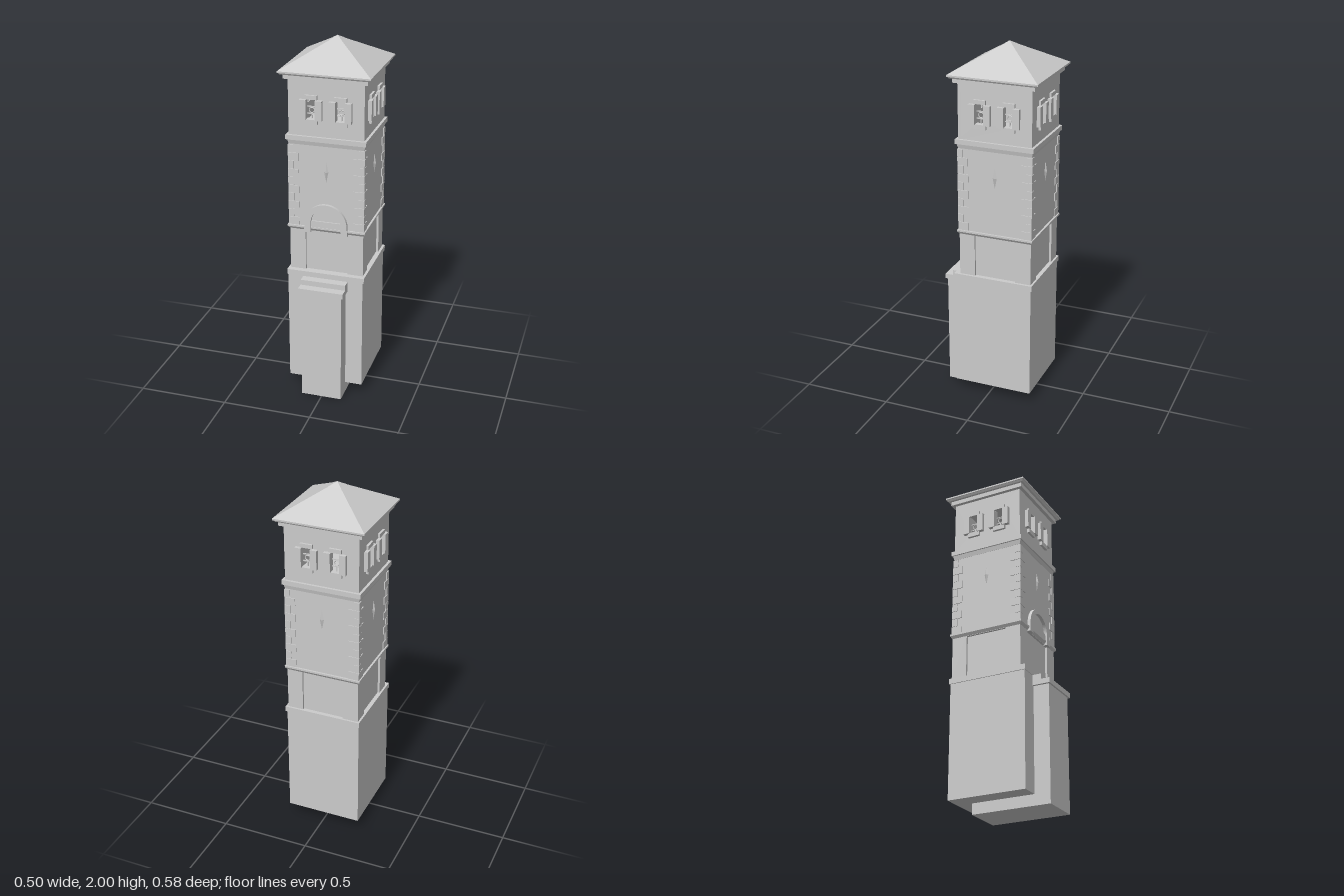
import * as THREE from 'three';

export function createModel() {
  const model = new THREE.Group();
  model.name = 'bellTower';
  const mat = new THREE.MeshStandardMaterial({ color: 0xcccccc, flatShading: true });

  const add = (parent, name, geo) => {
    const m = new THREE.Mesh(geo, mat);
    m.name = name;
    parent.add(m);
    return m;
  };
  // Box given by its limits on each axis
  const box = (parent, name, x0, x1, y0, y1, z0, z1) => {
    const m = add(parent, name, new THREE.BoxGeometry(x1 - x0, y1 - y0, z1 - z0));
    m.position.set((x0 + x1) / 2, (y0 + y1) / 2, (z0 + z1) / 2);
    return m;
  };
  // Square block centred on the tower axis
  const block = (parent, name, h, y0, y1) => box(parent, name, -h, h, y0, y1, -h, h);
  // Square frustum with half widths at bottom and top
  const frustum = (parent, name, h0, h1, y0, y1) => {
    const g = new THREE.CylinderGeometry(h1 * Math.SQRT2, h0 * Math.SQRT2, y1 - y0, 4);
    g.rotateY(Math.PI / 4);
    add(parent, name, g).position.y = (y0 + y1) / 2;
  };
  const rectPath = (p, x0, x1, y0, y1) => {
    p.moveTo(x0, y0); p.lineTo(x1, y0); p.lineTo(x1, y1); p.lineTo(x0, y1); p.closePath();
    return p;
  };
  const extrude = (shape, depth) =>
    new THREE.ExtrudeGeometry(shape, { depth, bevelEnabled: false, curveSegments: 16 });

  const tower = new THREE.Group();
  tower.name = 'tower';
  tower.position.set(-0.004, 0, -0.042);
  model.add(tower);

  // Base, with the front buttress running underneath it
  box(model, 'base', -0.216, 0.208, 0.06, 0.71, -0.251, 0.192);
  box(model, 'baseBand', -0.221, 0.216, 0.70, 0.73, -0.259, 0.195);
  box(model, 'buttress', -0.115, 0.113, 0, 0.65, -0.165, 0.281);
  box(model, 'buttressCap', -0.128, 0.125, 0.642, 0.67, 0.1, 0.291);
  box(model, 'buttressStep', -0.128, 0.125, 0.67, 0.70, 0.1, 0.243);

  // Panelled storey: recessed core, corner piers and a strip above the panels
  const W = 0.206;
  block(tower, 'panelCore', W - 0.012, 0.71, 0.99);
  for (const sx of [-1, 1]) for (const sz of [-1, 1]) {
    const c = 0.162;
    box(tower, 'cornerPier', sx * c - 0.044, sx * c + 0.044, 0.72, 0.98, sz * c - 0.044, sz * c + 0.044);
  }
  block(tower, 'panelHead', W, 0.966, 0.98);
  frustum(tower, 'middleBand', 0.207, 0.217, 0.968, 0.982);
  block(tower, 'middleBandTop', 0.217, 0.982, 0.992);

  // Shaft and the mouldings under the belfry
  block(tower, 'shaft', W, 0.99, 1.5);
  frustum(tower, 'upperBandNeck', 0.207, 0.213, 1.455, 1.48);
  block(tower, 'upperBand', 0.22, 1.48, 1.506);

  // Alternating corner stones
  const courses = 10, rise = 0.046;
  for (let i = 0; i < courses; i++) {
    const len = i % 2 ? 0.032 : 0.06, y = 0.992 + i * rise, o = W + 0.005;
    for (const sx of [-1, 1]) for (const sz of [-1, 1]) {
      const c = o - len / 2;
      box(tower, 'cornerStone', sx * c - len / 2, sx * c + len / 2, y + 0.001, y + rise - 0.001,
        sz * c - len / 2, sz * c + len / 2);
    }
  }

  // Arch moulding on the front
  const arch = new THREE.Shape();
  arch.moveTo(0.118, 1.012);
  arch.absarc(0, 1.012, 0.118, 0, Math.PI);
  arch.lineTo(-0.122, 0.962);
  arch.lineTo(-0.085, 0.962);
  arch.lineTo(-0.085, 1.022);
  arch.absarc(0, 1.022, 0.083, Math.PI, 0, true);
  arch.lineTo(0.085, 0.962);
  arch.lineTo(0.122, 0.962);
  add(tower, 'arch', extrude(arch, 0.026)).position.z = W - 0.008;
  box(tower, 'archSill', -0.084, 0.084, 0.99, 1.027, W - 0.01, W + 0.008);

  // The four faces: slit, pierced belfry wall and windows
  const wall = rectPath(new THREE.Shape(), -W, W, 1.5, 1.82);
  for (const x of [-0.08, 0.08]) wall.holes.push(rectPath(new THREE.Path(), x - 0.025, x + 0.025, 1.6, 1.71));
  const wallGeo = extrude(wall, 0.02);
  for (let k = 0; k < 4; k++) {
    const face = new THREE.Group();
    face.name = 'towerFace';
    face.rotation.y = k * Math.PI / 2;
    tower.add(face);

    const slit = add(face, 'slit', new THREE.OctahedronGeometry(1));
    slit.scale.set(0.012, 0.058, 0.01);
    slit.position.set(0, 1.313, W);

    add(face, 'belfryWall', wallGeo).position.z = W - 0.02;
    for (const x of [-0.08, 0.08]) {
      box(face, 'lintel', x - 0.034, x + 0.034, 1.708, 1.73, W - 0.01, W + 0.012);
      box(face, 'sill', x - 0.036, x + 0.036, 1.574, 1.6, W - 0.01, W + 0.014);
      for (const s of [-1, 1]) {
        const c = x + s * 0.043;
        box(face, 'shutter', c - 0.018, c + 0.018, 1.597, 1.705, W - 0.005, W + 0.02);
      }
      // Small railing inside the opening
      box(face, 'railing', x - 0.026, x + 0.026, 1.624, 1.629, W - 0.016, W - 0.01);
      box(face, 'railing', x - 0.026, x + 0.026, 1.662, 1.667, W - 0.016, W - 0.01);
      add(face, 'railingRing', new THREE.TorusGeometry(0.014, 0.003, 6, 16)).position.set(x, 1.645, W - 0.013);
      box(face, 'railingPost', x - 0.003, x + 0.003, 1.6, 1.626, W - 0.016, W - 0.01);
    }
  }

  // Cornice and hipped roof with a small peak cap
  block(tower, 'cornice', 0.226, 1.81, 1.836);
  frustum(tower, 'eaveSoffit', 0.238, 0.246, 1.834, 1.846);
  block(tower, 'eave', 0.249, 1.844, 1.853);
  frustum(tower, 'roof', 0.249, 0.001, 1.853, 1.997);
  frustum(tower, 'peakCap', 0.034, 0.0005, 1.979, 2.0);

  return model;
}
